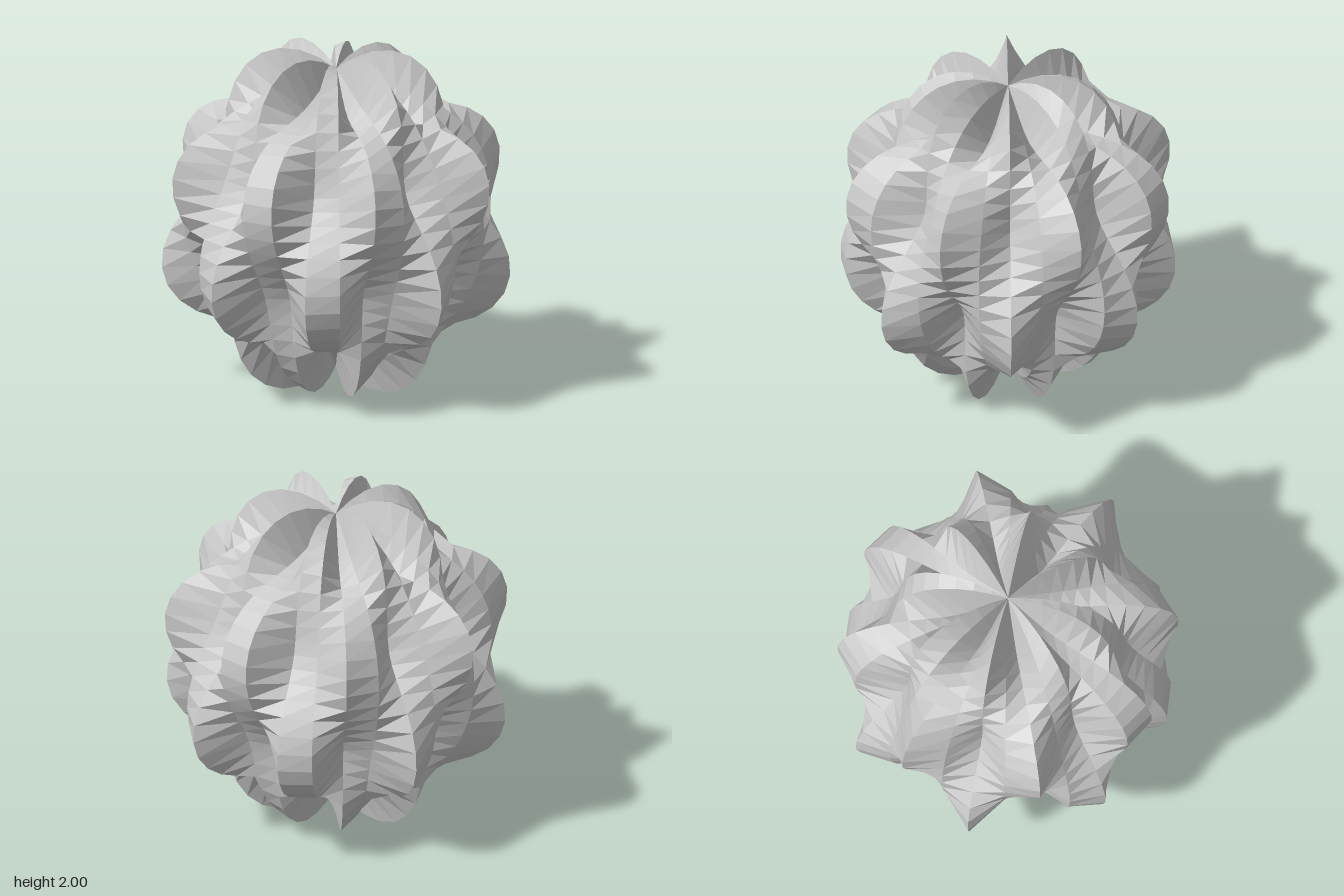
import * as THREE from 'three';

const LON = 30, LAT = 30;   // facets around and from pole to pole
const RADIUS = 0.884, BUMP = 0.2;

// Sphere whose radius swells and dips in a wave along both angles
function bumpyPoint(lat, lon) {
  const r = RADIUS * (1 + BUMP * Math.sin(8 * lon) * Math.sin(4 * lat));
  return [
    r * Math.cos(lat) * Math.cos(lon),
    1 + r * Math.sin(lat),
    r * Math.cos(lat) * Math.sin(lon),
  ];
}

function bumpySphere() {
  const positions = [], indices = [];
  for (let i = 0; i <= LAT; i++) {
    for (let j = 0; j <= LON; j++) {
      positions.push(...bumpyPoint(Math.PI * (0.5 - i / LAT), 2 * Math.PI * j / LON));
    }
  }
  const row = LON + 1;
  for (let i = 0; i < LAT; i++) {
    for (let j = 0; j < LON; j++) {
      const upperRight = i * row + j, upperLeft = upperRight + 1;
      const lowerRight = upperRight + row, lowerLeft = lowerRight + 1;
      // The pole rows need a single triangle per facet
      if (i < LAT - 1) indices.push(lowerLeft, lowerRight, upperRight);
      else indices.push(lowerLeft, upperRight, upperLeft);
      if (i > 0 && i < LAT - 1) indices.push(lowerLeft, upperRight, upperLeft);
    }
  }
  const geometry = new THREE.BufferGeometry();
  geometry.setAttribute('position', new THREE.Float32BufferAttribute(positions, 3));
  geometry.setIndex(indices);
  geometry.computeVertexNormals();
  return geometry;
}

export function createModel() {
  const group = new THREE.Group();
  group.name = 'bumpyBall';
  const body = new THREE.Mesh(
    bumpySphere(),
    new THREE.MeshStandardMaterial({ color: 0xcccccc, flatShading: true })
  );
  body.name = 'bumpySphere';
  group.add(body);
  return group;
}
